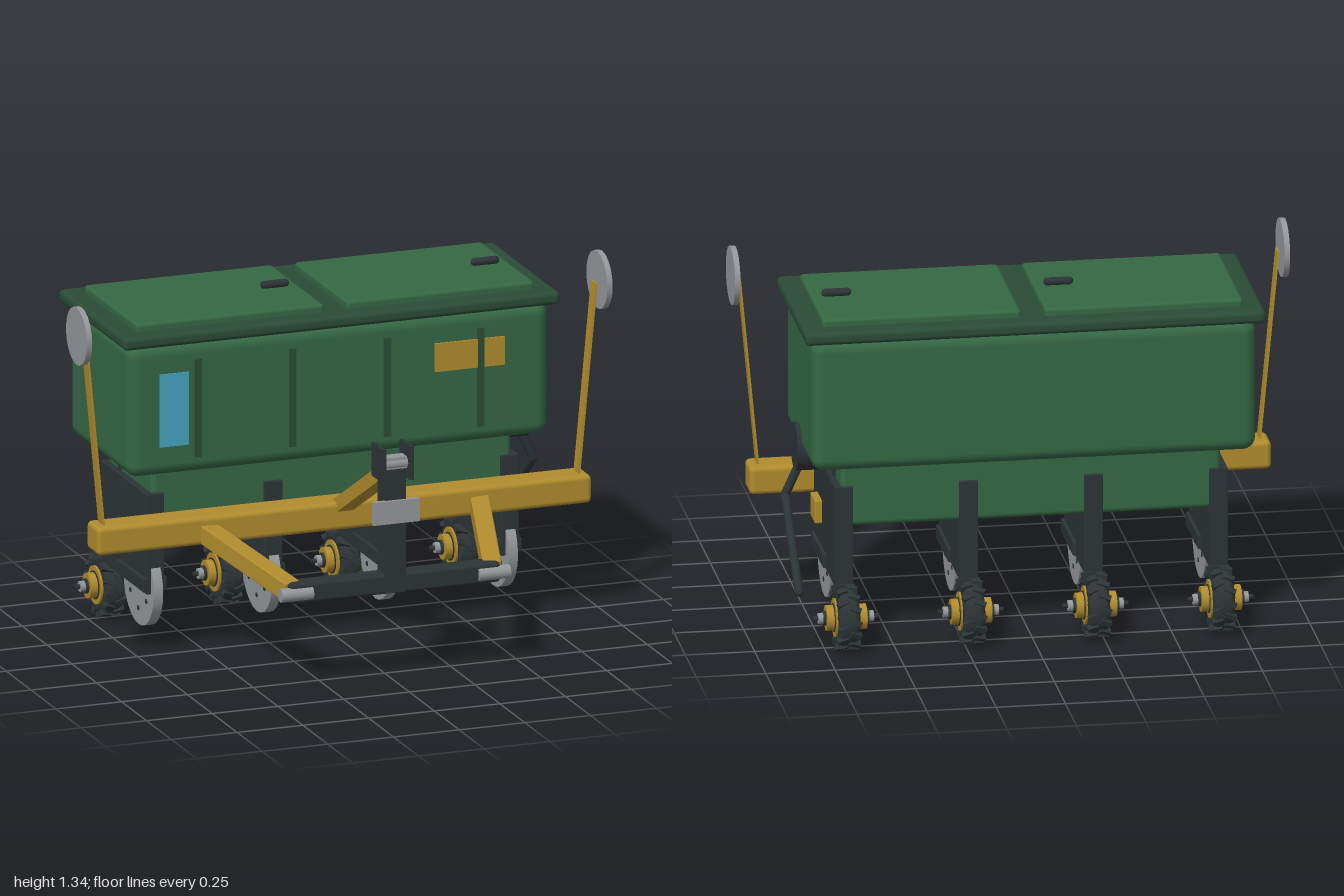
import * as THREE from 'three';
import { RoundedBoxGeometry } from 'three/addons/geometries/RoundedBoxGeometry.js';

const mat = (name, color) => {
  const m = new THREE.MeshStandardMaterial({ color });
  m.name = name;
  return m;
};

export function createModel() {
  const model = new THREE.Group();
  const green = mat('hopper green', 0x356844);
  const darkGreen = mat('dark green trim', 0x2b4c36);
  const yellow = mat('frame yellow', 0xb08c2d);
  const dark = mat('dark steel', 0x2d3436);
  const grey = mat('bare metal', 0x95989b);
  const blue = mat('window blue', 0x45a5c2);

  const add = (name, geo, material, x, y, z, parent = model) => {
    const m = new THREE.Mesh(geo, material);
    m.name = name;
    m.position.set(x, y, z);
    parent.add(m);
    return m;
  };
  // Box given by its limits; r rounds the edges
  const box = (name, material, [x0, x1], [y0, y1], [z0, z1], r = 0, parent = model) => {
    const s = [x1 - x0, y1 - y0, z1 - z0];
    const geo = r ? new RoundedBoxGeometry(...s, 3, r) : new THREE.BoxGeometry(...s);
    return add(name, geo, material, (x0 + x1) / 2, (y0 + y1) / 2, (z0 + z1) / 2, parent);
  };
  // Cylinder lying along x
  const rod = (name, material, r, len, x, y, z, parent = model, seg = 20) =>
    add(name, new THREE.CylinderGeometry(r, r, len, seg).rotateZ(-Math.PI / 2), material, x, y, z, parent);
  // Rectangular beam between two points
  const beam = (name, material, a, b, w, h, r = 0) => {
    const p = new THREE.Vector3(...a), q = new THREE.Vector3(...b), len = p.distanceTo(q);
    const geo = r ? new RoundedBoxGeometry(w, h, len, 2, r) : new THREE.BoxGeometry(w, h, len);
    const m = add(name, geo, material, 0, 0, 0);
    m.position.copy(p).add(q).multiplyScalar(0.5);
    m.lookAt(q);
    return m;
  };

  // Hopper, lid and hatches
  box('hopper', green, [-0.8, 0.8], [0.675, 1.165], [-0.56, 0.05], 0.045);
  box('lowerHopper', green, [-0.685, 0.685], [0.44, 0.72], [-0.47, -0.03], 0.02);
  box('lid', darkGreen, [-0.83, 0.83], [1.162, 1.21], [-0.59, 0.08], 0.018);
  for (const x of [-0.4, 0.4]) {
    box('hatch', green, [x - 0.357, x + 0.357], [1.19, 1.237], [-0.52, 0.01], 0.012);
    add('hatchHandle', new THREE.CapsuleGeometry(0.015, 0.077, 4, 10).rotateZ(Math.PI / 2),
      dark, x + 0.267, 1.249, -0.253);
  }
  for (const x of [-0.54, -0.18, 0.18, 0.535])
    box('hopperRib', darkGreen, [x - 0.0125, x + 0.0125], [0.735, 1.1], [0.04, 0.06]);
  box('levelWindow', blue, [-0.685, -0.575], [0.785, 1.055], [0.047, 0.055]);
  box('frontPlate', yellow, [0.36, 0.625], [0.955, 1.06], [0.049, 0.058]);

  // Toolbar with marker arms
  box('toolbar', yellow, [-0.94, 0.94], [0.42, 0.525], [-0.015, 0.105], 0.018);
  for (const s of [-1, 1]) {
    const arm = box('markerArm', yellow, [-0.004, 0.004], [-0.365, 0.365], [-0.024, 0.024]);
    arm.position.set(s * 0.936, 0.86, 0.045);
    arm.rotation.z = -s * 0.094;
    rod('markerDisc', grey, 0.106, 0.02, s * 0.99, 1.23, 0.046);
    // Lower hitch arm and its pin
    beam('lowerHitchArm', yellow, [s * 0.525, 0.465, 0.06], [s * 0.38, 0.365, 0.575], 0.068, 0.07, 0.006);
    rod('hitchPin', grey, 0.025, 0.12, s * 0.375, 0.362, 0.602);
    // Clevis plate of the hitch mast
    box('clevisPlate', dark, [s * 0.053 - 0.008, s * 0.053 + 0.008], [0.75, 0.873], [0.532, 0.637]);
  }

  // Hitch mast
  box('hitchCrossbar', dark, [-0.4, 0.4], [0.327, 0.4], [0.535, 0.612], 0.012);
  box('hitchMast', dark, [-0.04, 0.04], [0.33, 0.8], [0.537, 0.612]);
  rod('mastPin', grey, 0.02, 0.09, 0, 0.808, 0.6);
  box('mastCap', grey, [-0.042, 0.042], [0.79, 0.833], [0.57, 0.615]);
  box('mastPlate', grey, [-0.088, 0.088], [0.59, 0.675], [0.605, 0.623]);
  beam('topBrace', yellow, [0, 0.765, 0.545], [0, 0.495, 0.06], 0.062, 0.05);

  // Fan and bent hose on the left side
  rod('fanHousing', dark, 0.087, 0.11, 0.762, 0.677, -0.247);
  const hose = new THREE.CurvePath();
  const pts = [[0.79, 0.63, -0.247], [0.85, 0.5, -0.25], [0.85, 0.235, -0.56]].map(p => new THREE.Vector3(...p));
  hose.add(new THREE.LineCurve3(pts[0], pts[1]));
  hose.add(new THREE.LineCurve3(pts[1], pts[2]));
  for (const c of hose.curves) add('hose', new THREE.TubeGeometry(c, 1, 0.016, 10), dark, 0, 0, 0);
  add('hoseBend', new THREE.SphereGeometry(0.016, 10, 8), dark, ...pts[1].toArray());
  add('hoseEnd', new THREE.SphereGeometry(0.016, 10, 8), dark, ...pts[2].toArray());

  // Press wheel profile: radius, width
  const tyreGeo = new THREE.LatheGeometry([
    [0.065, -0.034], [0.085, -0.04], [0.1, -0.034], [0.109, -0.02],
    [0.109, 0.02], [0.1, 0.034], [0.085, 0.04], [0.065, 0.034],
  ].map(p => new THREE.Vector2(...p)), 32).rotateZ(-Math.PI / 2);

  // Four planting rows
  for (const x of [-0.675, -0.225, 0.225, 0.675]) {
    const row = new THREE.Group();
    row.name = 'plantingRow';
    row.position.x = x;
    model.add(row);
    box('rowPlate', dark, [-0.034, 0.034], [0.22, 0.592], [-0.48, -0.018], 0.004, row);
    box('seedMeter', yellow, [-0.06, 0.06], [0.363, 0.45], [-0.195, -0.09], 0.006, row);
    box('scraperBar', dark, [-0.046, 0.046], [0.228, 0.28], [-0.295, -0.02], 0.005, row);
    add('seedTube', new THREE.CylinderGeometry(0.02, 0.02, 0.36, 12), dark, 0, 0.5, -0.34, row);

    // Opener disc with bolts
    rod('openerDisc', grey, 0.152, 0.036, 0, 0.228, -0.14, row, 24);
    for (let i = 0; i < 6; i++) {
      const a = Math.PI / 6 + i * Math.PI / 3;
      rod('discBolt', dark, 0.009, 0.042, 0, 0.228 + 0.091 * Math.sin(a), -0.14 + 0.091 * Math.cos(a), row, 10);
    }

    // Press wheel with lugs, rim, hub and axle
    const wheel = new THREE.Group();
    wheel.name = 'pressWheel';
    wheel.position.set(0, 0.118, -0.518);
    row.add(wheel);
    add('tyre', tyreGeo, dark, 0, 0, 0, wheel);
    for (let i = 0; i < 14; i++) for (const s of [-1, 1]) {
      const a = (i + s * 0.25) * Math.PI / 7;
      const lug = add('tyreLug', new THREE.BoxGeometry(0.042, 0.022, 0.018), dark,
        s * 0.021, 0.106 * Math.cos(a), 0.106 * Math.sin(a), wheel);
      lug.rotation.set(a, s * 0.4, 0);
    }
    rod('rim', yellow, 0.07, 0.086, 0, 0, 0, wheel, 28);
    rod('rimRing', dark, 0.052, 0.092, 0, 0, 0, wheel, 28);
    rod('hub', yellow, 0.046, 0.145, 0, 0, 0, wheel, 24);
    rod('hubCap', dark, 0.027, 0.165, 0, 0, 0, wheel);
    rod('axle', grey, 0.02, 0.2, 0, 0, 0, wheel, 12);
    rod('axleEnd', dark, 0.009, 0.235, 0, 0, 0, wheel, 8);
  }
  return model;
}
